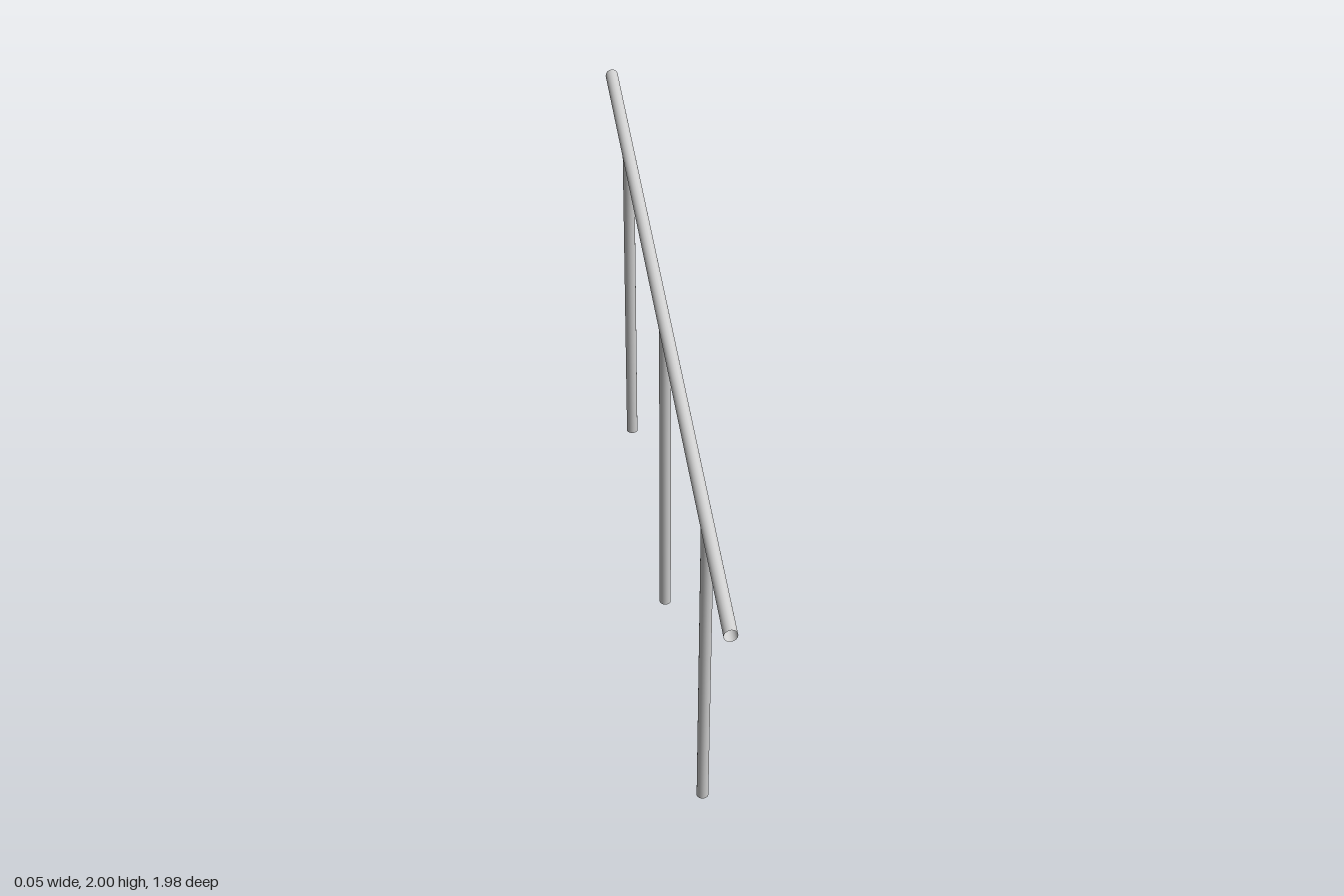
import * as THREE from 'three';

const SLOPE = 0.5;       // rise per unit of run towards the back
const RAIL_Y = 1.482;    // rail axis height at z = 0
const RAIL_LENGTH = 1.98;
const POST_STEP = 0.66;

export function createModel() {
  const group = new THREE.Group();
  const material = new THREE.MeshStandardMaterial({ color: 0xcccccc, side: THREE.DoubleSide });

  // Open-ended round tube standing along y
  const tube = (radius, length) =>
    new THREE.CylinderGeometry(radius, radius, length, 16, 1, true);

  // Sloping handrail: a straight tube sheared so its ends stay plumb
  const railGeometry = tube(0.0225, RAIL_LENGTH).rotateX(Math.PI / 2);
  railGeometry.applyMatrix4(new THREE.Matrix4().set(
    1, 0, 0, 0,
    0, 1, -SLOPE, RAIL_Y,
    0, 0, 1, 0,
    0, 0, 0, 1
  ));
  const rail = new THREE.Mesh(railGeometry, material);
  rail.name = 'handrail';
  group.add(rail);

  // Equal posts stepping up with the rail, each ending inside it
  const postHeight = RAIL_Y - SLOPE * POST_STEP;
  const postGeometry = tube(0.0205, postHeight);
  ['frontPost', 'middlePost', 'backPost'].forEach((name, i) => {
    const post = new THREE.Mesh(postGeometry, material);
    post.name = name;
    post.position.set(0, postHeight / 2 + i * POST_STEP * SLOPE, (1 - i) * POST_STEP);
    group.add(post);
  });

  return group;
}
